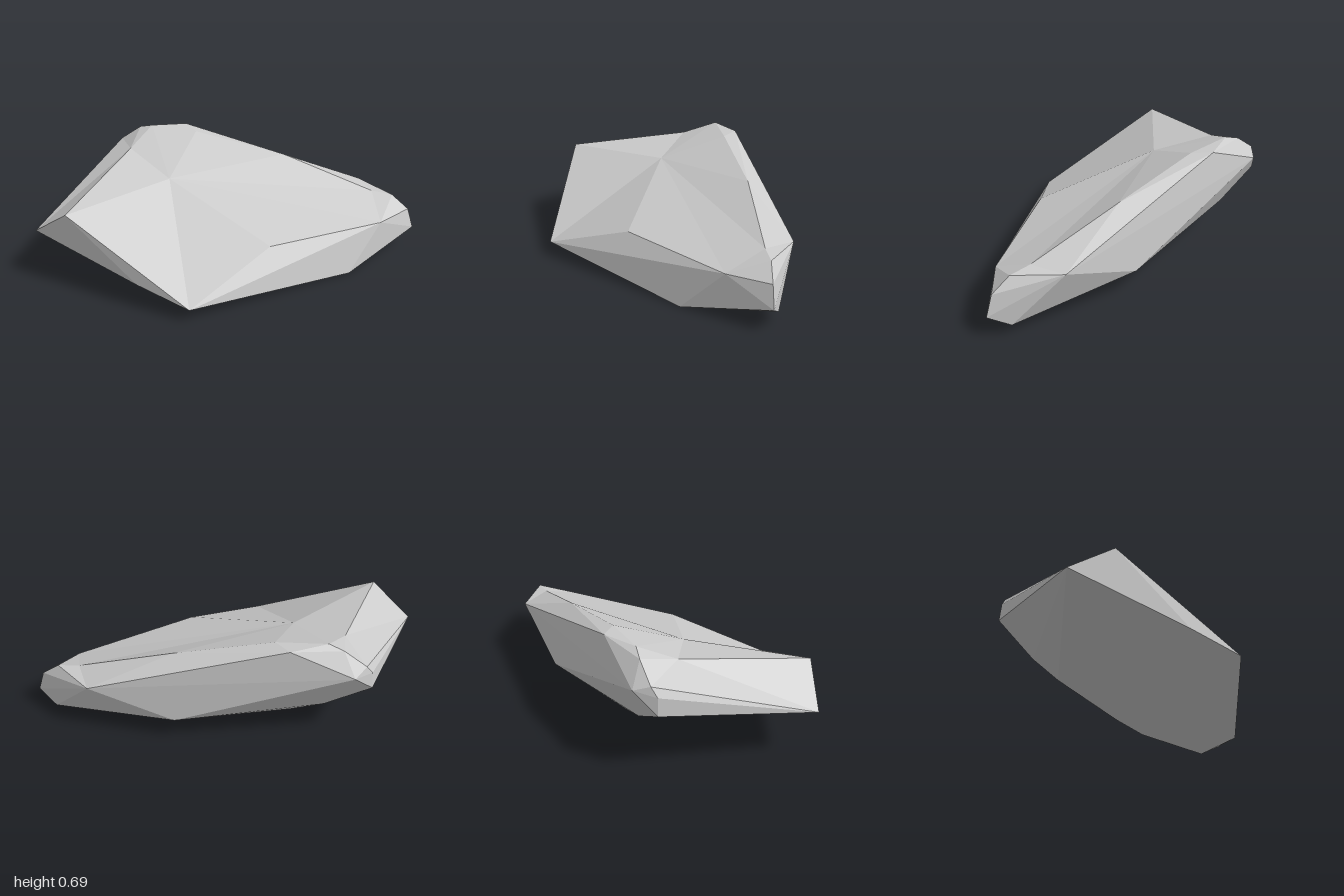
import * as THREE from 'three';
import { ConvexGeometry } from 'three/addons/geometries/ConvexGeometry.js';

// Corner points of the boulder
const corners = {
  // low front edge
  frontTip: [-1, 0.32, 0.69], frontTop: [-0.74, 0.505, 0.73],
  frontMid: [-0.27, 0.16, 0.745], frontLow: [0.07, 0.085, 0.75],
  // sloping side
  sideMid: [0.34, 0.28, 0.21], sideFoot: [0.74, 0, -0.13], sideTop: [0.85, 0.26, -0.38],
  // pointed end
  endTip: [1, 0.13, -0.64], endUpper: [0.96, 0.26, -0.63], endCrest: [0.85, 0.345, -0.62],
  endRidge: [0.72, 0.36, -0.59], endBack: [0.58, 0.35, -0.75], endFoot: [0.87, 0.06, -0.67],
  // upper face and crest
  hollow: [-0.4, 0.52, 0.085], notch: [-0.75, 0.61, -0.04],
  ridge: [0.14, 0.55, -0.49], crest: [-0.42, 0.675, -0.33], peakBack: [-0.53, 0.685, -0.4],
  peak: [-0.71, 0.695, -0.26], shoulder: [-0.8, 0.67, -0.26],
  // blunt end
  bluntTop: [-0.93, 0.575, -0.23], bluntBack: [-0.89, 0.54, -0.32],
  bluntMid: [-0.96, 0.52, -0.2], bluntLow: [-0.97, 0.41, -0.2],
  // back and underside
  backFoot: [0.09, 0.155, -0.62], keelA: [-0.71, 0.245, -0.25], keelB: [-0.52, 0.165, -0.28],
  keelC: [-0.03, 0.04, -0.38], keelD: [0.22, 0.015, -0.46],
};

// Offsets that bring sunken corners outside while the faces are found
const lifts = {
  hollow: [0, 0.12, 0.215], notch: [0, 0.07, 0], endRidge: [0, 0.05, 0],
  ridge: [0, 0.03, 0], crest: [0, 0.035, 0], peak: [0, 0.02, 0],
};

// Wraps the lifted corners in triangles, then sinks each corner to its place
function wrapCorners() {
  const names = Object.keys(corners);
  const placed = names.map((n) => new THREE.Vector3(...corners[n]));
  const lifted = names.map((n, i) => placed[i].clone().add(new THREE.Vector3(...(lifts[n] ?? [0, 0, 0]))));
  const geometry = new ConvexGeometry(lifted);
  const pos = geometry.getAttribute('position');
  const v = new THREE.Vector3();
  for (let i = 0; i < pos.count; i++) {
    v.fromBufferAttribute(pos, i);
    const corner = placed[lifted.findIndex((p) => p.distanceTo(v) < 1e-4)];
    pos.setXYZ(i, corner.x, corner.y, corner.z);
  }
  geometry.computeVertexNormals();
  return geometry;
}

export function createModel() {
  const boulder = new THREE.Mesh(
    wrapCorners(),
    new THREE.MeshStandardMaterial({ color: 0xcccccc, flatShading: true }),
  );
  boulder.name = 'boulder';

  const group = new THREE.Group();
  group.name = 'rock';
  group.add(boulder);
  return group;
}
